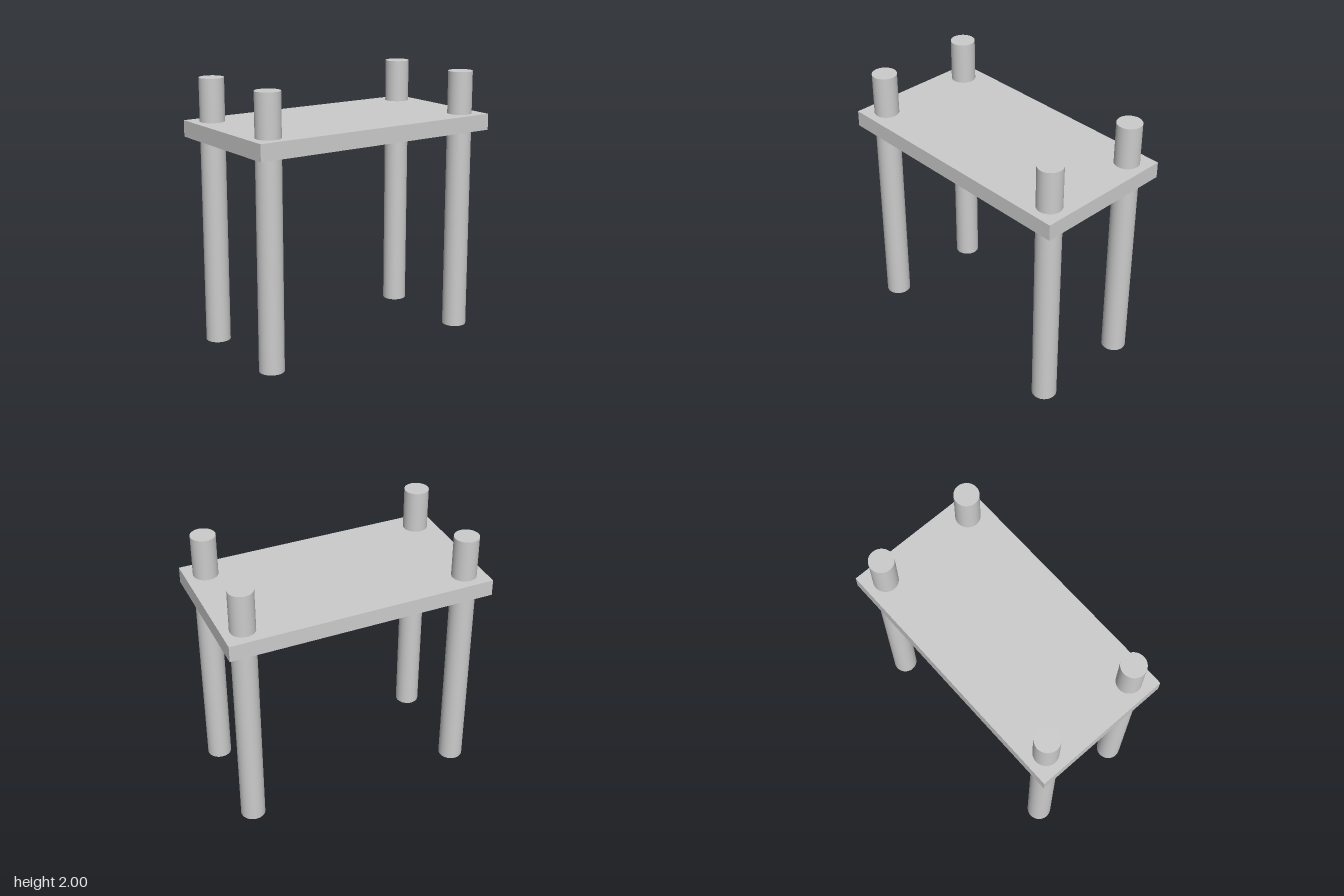
import * as THREE from 'three';

export function createModel() {
  const group = new THREE.Group();
  const material = new THREE.MeshStandardMaterial({ color: 0xcccccc });

  // Flat rectangular top, set below the ends of the legs
  const top = new THREE.Mesh(new THREE.BoxGeometry(2, 0.122, 1.076), material);
  top.name = 'tableTop';
  top.position.y = 1.618;
  group.add(top);

  // Four round legs that pass through the top
  const legGeometry = new THREE.CylinderGeometry(0.092, 0.092, 2, 48);
  for (const [sideName, sx] of [['Left', 1], ['Right', -1]]) {
    for (const [endName, sz] of [['front', 1], ['back', -1]]) {
      const leg = new THREE.Mesh(legGeometry, material);
      leg.name = `${endName}${sideName}Leg`;
      leg.position.set(sx * 0.847, 1, sz * 0.385);
      group.add(leg);
    }
  }
  return group;
}
